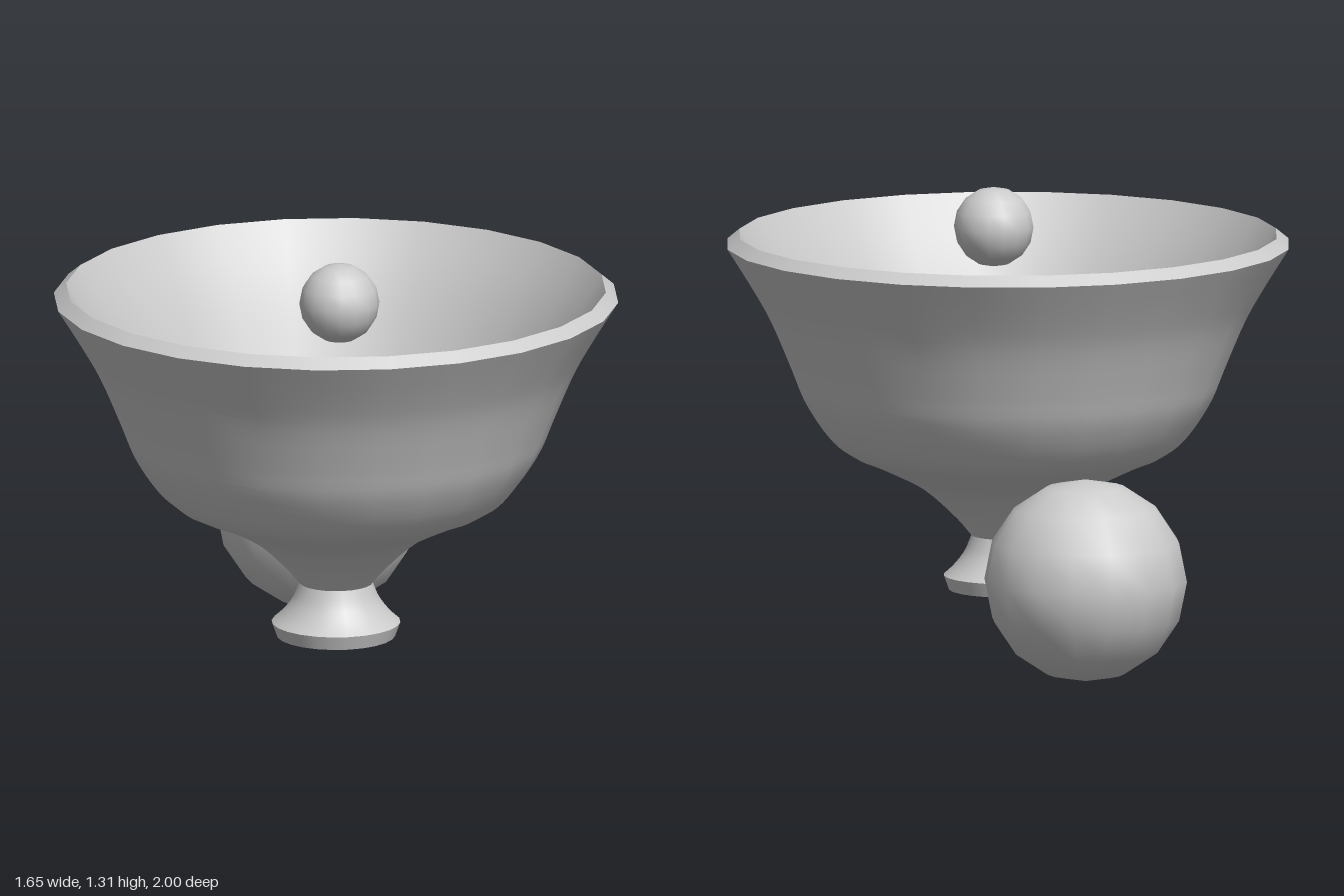
import * as THREE from 'three';

const SIDES = 24;
const material = new THREE.MeshStandardMaterial({ color: 0xcccccc });

// Turned section: smooth along its own profile, sharp where it meets the next one
function turned(name, points, divisions) {
  let profile = points.map(([r, y]) => new THREE.Vector2(r, y));
  if (divisions) profile = new THREE.SplineCurve(profile).getPoints(divisions);
  const flat = 1 / Math.cos(Math.PI / SIDES); // radii are measured to the flats
  profile.forEach((p) => { p.x *= flat; });
  const mesh = new THREE.Mesh(new THREE.LatheGeometry(profile, SIDES, Math.PI / SIDES), material);
  mesh.name = name;
  return mesh;
}

function ball(name, radius, x, y, z) {
  const mesh = new THREE.Mesh(new THREE.SphereGeometry(radius, 16, 8), material);
  mesh.name = name;
  mesh.position.set(x, y, z);
  return mesh;
}

export function createModel() {
  const model = new THREE.Group();

  // Hollow footed bowl, its profile running up the outside and down the inside
  const bowl = new THREE.Group();
  bowl.name = 'footedBowl';
  bowl.position.z = 0.173;
  bowl.add(
    turned('footBand', [[0.173, 0.145], [0.188, 0.187]]),
    turned('footFlare', [[0.188, 0.187], [0.158, 0.215], [0.128, 0.255], [0.112, 0.292]], 8),
    turned('neck', [[0.112, 0.292], [0.107, 0.306]]),
    turned('bowlOutside', [
      [0.107, 0.306], [0.16, 0.367], [0.255, 0.45], [0.39, 0.52], [0.47, 0.555], [0.53, 0.61],
      [0.595, 0.71], [0.636, 0.81], [0.695, 0.95], [0.75, 1.05], [0.824, 1.17],
    ], 36),
    turned('rim', [[0.824, 1.17], [0.788, 1.2]]),
    turned('bowlInside', [
      [0.788, 1.2], [0.715, 1.075], [0.658, 0.96], [0.598, 0.82], [0.556, 0.72], [0.5, 0.635],
      [0.44, 0.59], [0.36, 0.555], [0.23, 0.49], [0.12, 0.393], [0.062, 0.31],
    ], 36),
    turned('footInside', [[0.062, 0.31], [0.085, 0.25], [0.118, 0.2], [0.165, 0.145]], 8),
    turned('footEdge', [[0.165, 0.145], [0.173, 0.145]]),
  );
  model.add(bowl);

  // Loose balls: a large one behind the bowl, a small one in its mouth
  model.add(ball('largeBall', 0.3, 0, 0.303, -0.7));
  model.add(ball('smallBall', 0.118, 0, 1.197, 0.333));

  return model;
}
